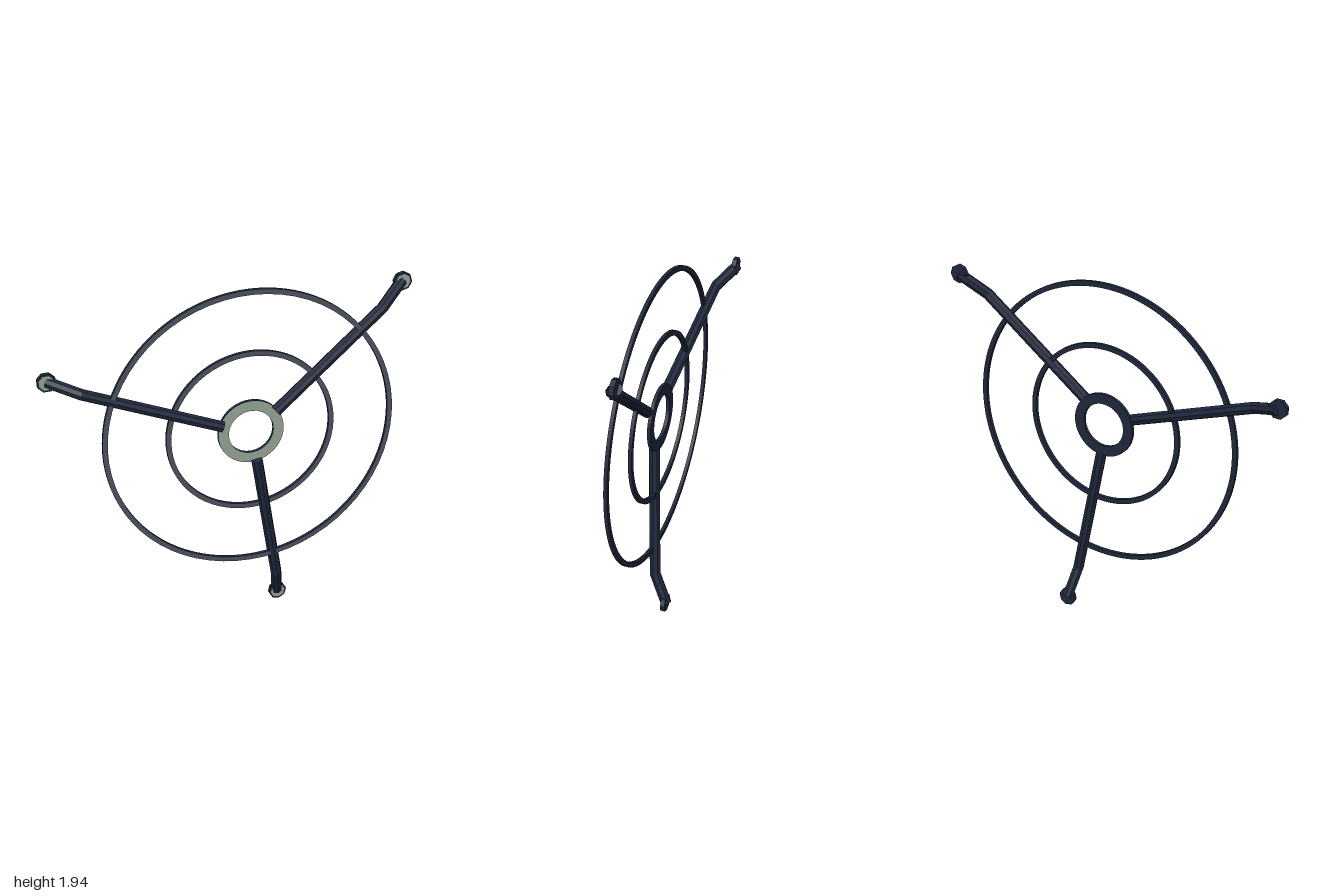
import * as THREE from 'three';

const CENTRE = [0.095, 1.15];

export function createModel() {
  const navy = new THREE.MeshStandardMaterial({ color: 0x1e273a });
  navy.name = 'darkNavy';
  const slate = new THREE.MeshStandardMaterial({ color: 0x4b515e });
  slate.name = 'slateGrey';
  const sage = new THREE.MeshStandardMaterial({ color: 0x94a394 });
  sage.name = 'sageGreen';

  const model = new THREE.Group();
  model.name = 'ringGuard';

  const add = (parent, name, geometry, material) => {
    const mesh = new THREE.Mesh(geometry, material);
    mesh.name = name;
    parent.add(mesh);
    return mesh;
  };
  const facet = (geometry) => {
    const g = geometry.toNonIndexed();
    g.computeVertexNormals();
    return g;
  };

  // Flat rings: dark body with a lighter front face
  const addRing = (name, outer, inner, segments, faceMaterial) => {
    const group = new THREE.Group();
    group.name = name;
    group.position.set(...CENTRE, 0.025);
    const shape = new THREE.Shape().absarc(0, 0, outer, 0, Math.PI * 2);
    shape.holes.push(new THREE.Path().absarc(0, 0, inner, 0, Math.PI * 2, true));
    const body = new THREE.ExtrudeGeometry(shape, {
      depth: 0.019, bevelEnabled: false, curveSegments: segments,
    });
    add(group, name + 'Body', body, navy);
    const face = add(group, name + 'Face', new THREE.RingGeometry(inner, outer, segments), faceMaterial);
    face.position.z = 0.0205;
    model.add(group);
  };
  addRing('outerRing', 0.795, 0.768, 64, slate);
  addRing('innerRing', 0.46, 0.433, 64, slate);
  addRing('hub', 0.18, 0.123, 24, sage);

  // Bent arm: an eight-sided rod following three points, mitred at the knee
  const path = [[0.17, 0.058], [0.94, 0.013], [1.112, -0.06]].map((p) => new THREE.Vector2(...p));
  const first = path[1].clone().sub(path[0]).normalize();
  const last = path[2].clone().sub(path[1]).normalize();
  const directions = [first, first.clone().add(last).normalize(), last];
  const armGeometry = () => {
    const g = new THREE.CylinderGeometry(0.031, 0.031, 2, 8, 2);
    const pos = g.attributes.position;
    for (let i = 0; i < pos.count; i++) {
      const row = Math.round(pos.getY(i)) + 1;
      const p = path[row], d = directions[row], across = pos.getX(i);
      pos.setXYZ(i, p.x - d.y * across, pos.getZ(i), p.y + d.x * across);
    }
    return facet(g);
  };

  // Three arms, each ending in an octagonal mounting pad
  const rod = armGeometry();
  const padBody = facet(new THREE.CylinderGeometry(0.051, 0.051, 0.025, 8).rotateX(Math.PI / 2));
  const padFace = new THREE.CircleGeometry(0.041, 8);
  [40, 160, 280].forEach((degrees, i) => {
    const arm = new THREE.Group();
    arm.name = 'arm' + (i + 1);
    arm.position.set(...CENTRE, 0);
    arm.rotation.z = THREE.MathUtils.degToRad(degrees);
    add(arm, 'armRod', rod, navy);
    add(arm, 'mountingPad', padBody, navy).position.set(1.112, 0, -0.054);
    add(arm, 'mountingPadFace', padFace, sage).position.set(1.112, 0, -0.0405);
    model.add(arm);
  });

  return model;
}
